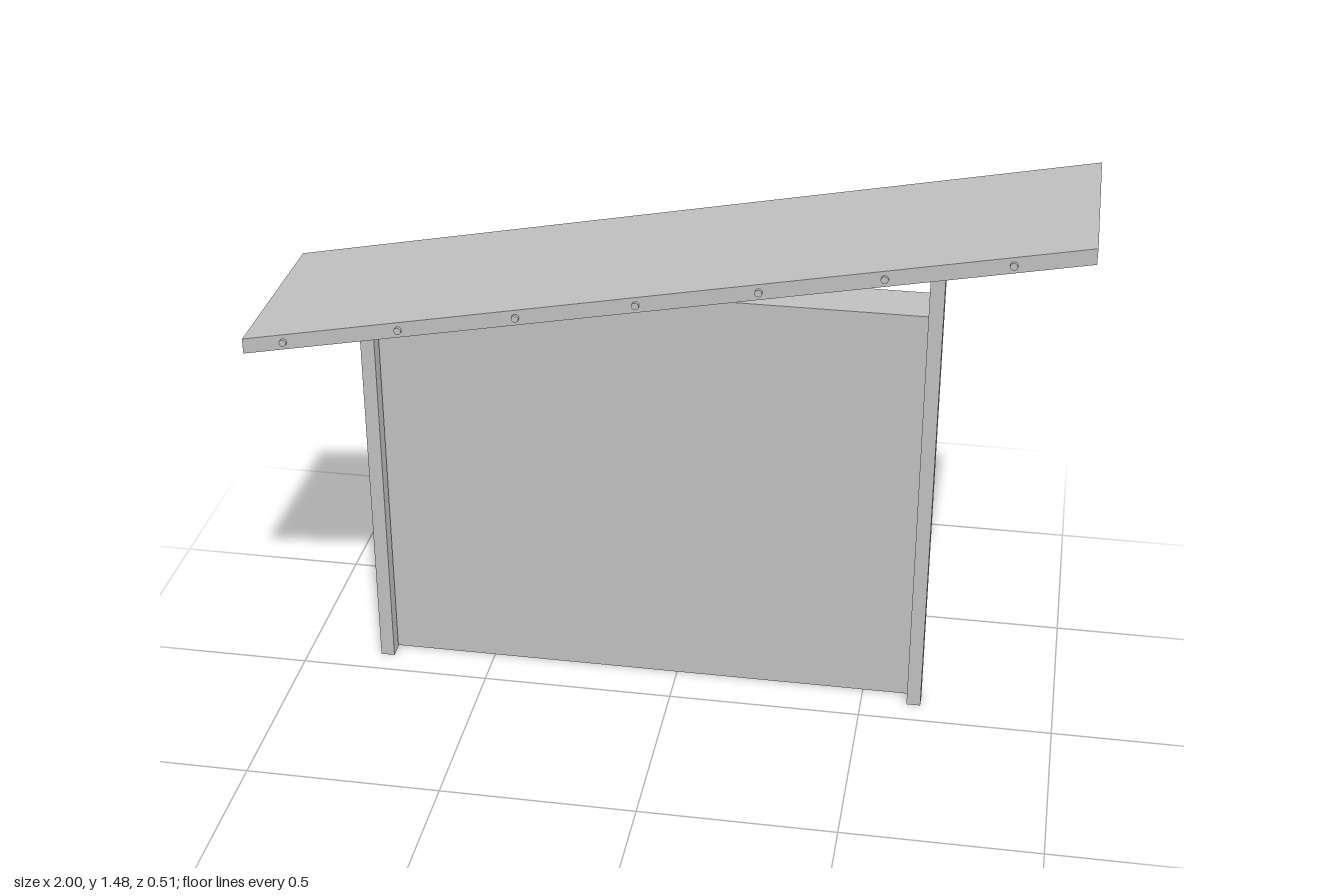
import * as THREE from 'three';

const SLOPE = 0.195; // roof rise per unit of x
const BACK = -0.253, ROOF_FRONT = 0.245;
const underside = (x) => 1.25 + SLOPE * x;

export function createModel() {
  const group = new THREE.Group();
  const grey = new THREE.MeshStandardMaterial({ color: 0xc0c0c0 });
  grey.name = 'plain grey';

  const add = (name, geometry) => {
    const mesh = new THREE.Mesh(geometry, grey);
    mesh.name = name;
    group.add(mesh);
    return mesh;
  };

  // Extrude an x-y outline between two depths
  const prism = (name, points, z0, z1) => {
    const shape = new THREE.Shape(points.map(([x, y]) => new THREE.Vector2(x, y)));
    const geometry = new THREE.ExtrudeGeometry(shape, { depth: z1 - z0, bevelEnabled: false });
    return add(name, geometry.translate(0, 0, z0));
  };

  // Sloping roof slab with upright ends
  const t = 0.039;
  prism('roof', [
    [-1, underside(-1)], [1, underside(1)],
    [1, underside(1) + t], [-1, underside(-1) + t],
  ], BACK, ROOF_FRONT);

  // Thick wall, its low corner just touching into the roof
  prism('wall', [[-0.787, 0], [0.637, 0], [0.637, 1.11], [-0.787, 1.11]], BACK, -0.117);

  // Front posts, cut to the roof slope
  for (const [name, x] of [['rightPost', -0.787], ['leftPost', 0.638]]) {
    const a = x - 0.018, b = x + 0.018;
    prism(name, [[a, 0], [b, 0], [b, underside(b)], [a, underside(a)]], -0.11, -0.068);
  }

  // Row of small round studs along the front edge of the roof
  for (let i = 0; i < 7; i++) {
    const x = -0.897 + i * 0.286;
    const geometry = new THREE.CylinderGeometry(0.009, 0.009, 0.012, 12).rotateX(Math.PI / 2);
    add('roofStud', geometry).position.set(x, underside(x) + t / 2, ROOF_FRONT + 0.002);
  }

  return group;
}
